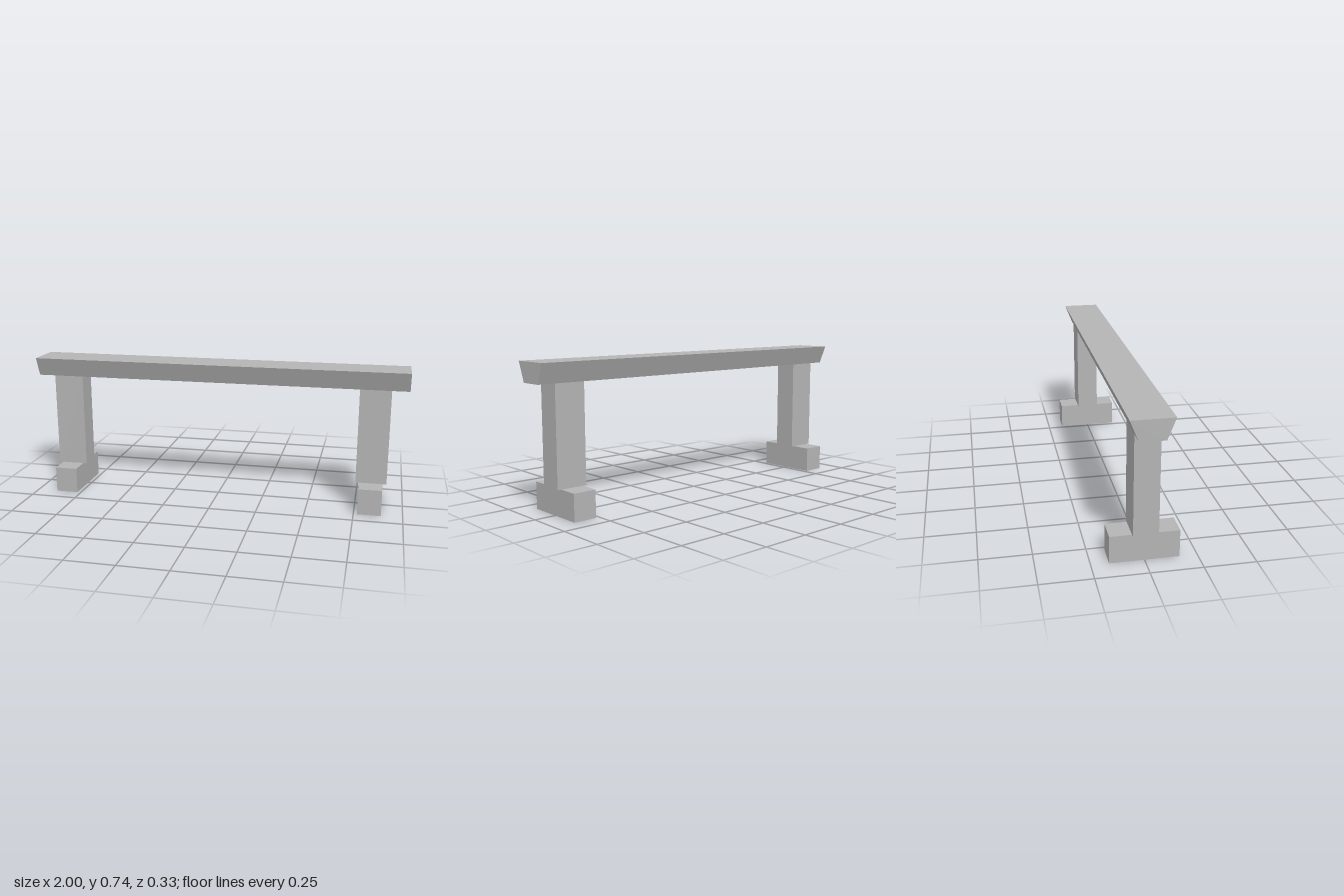
import * as THREE from 'three';

export function createModel() {
  const model = new THREE.Group();
  const grey = new THREE.MeshStandardMaterial({ color: 0xb4b4b4 });
  grey.name = 'plainGrey';

  const footTop = 0.137, legTop = 0.637, beamTop = 0.737;
  const legX = 0.83;

  const add = (name, geometry, x = 0, y = 0) => {
    const mesh = new THREE.Mesh(geometry, grey);
    mesh.name = name;
    mesh.position.set(x, y, 0);
    model.add(mesh);
  };

  // Top beam: trapezoid section, wider at the top, running along x
  const section = new THREE.Shape([
    new THREE.Vector2(-0.06, legTop),
    new THREE.Vector2(0.06, legTop),
    new THREE.Vector2(0.1, beamTop),
    new THREE.Vector2(-0.1, beamTop),
  ]);
  const beam = new THREE.ExtrudeGeometry(section, { depth: 2, bevelEnabled: false });
  beam.translate(0, 0, -1).rotateY(Math.PI / 2);
  add('topBeam', beam);

  // A leg and its wide foot at each end
  for (const [side, s] of [['left', 1], ['right', -1]]) {
    add(side + 'Leg', new THREE.BoxGeometry(0.16, legTop - footTop, 0.12),
      s * legX, (legTop + footTop) / 2);
    add(side + 'Foot', new THREE.BoxGeometry(0.12, footTop, 0.33),
      s * legX, footTop / 2);
  }
  return model;
}
